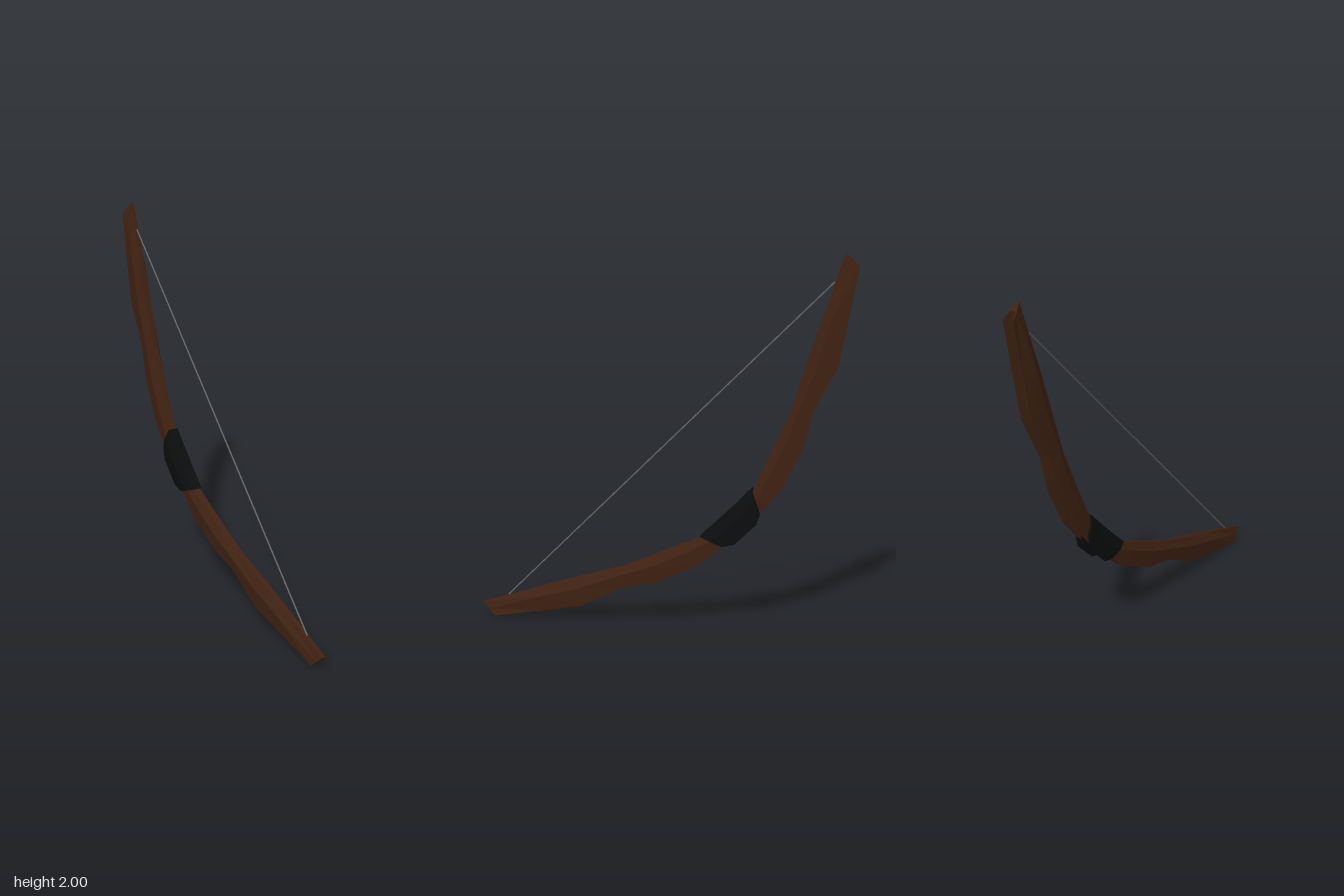
import * as THREE from 'three';

// A station is one cross-section: [innerZ, innerY, outerZ, outerY, innerHalfWidth,
// shoulderHalfWidth, shoulderDepth, outerHalfWidth, grooveDepth]; depths run 0 (inner) to 1 (outer).
const mirrorStation = ([iz, iy, oz, oy, ...rest]) => [iy - 1, iz + 1, oy - 1, oz + 1, ...rest];
const mirrored = (half) => [...half.map(mirrorStation).reverse(), ...half];

function outline([, , , , wi, ws, ds, wo, dg]) {
  const right = [[wi, 0], [ws, ds], [wo, 1], [wo * 0.45, dg]];
  const left = right.map(([x, d]) => [-x, d]).reverse();
  return [...right, ...left].map(([x, d]) => new THREE.Vector2(x, d));
}

// Loft through the stations, with closed ends and flat facets
function loft(stations) {
  const pos = [], idx = [], n = 8;
  for (const s of stations) {
    const [iz, iy, oz, oy] = s;
    for (const p of outline(s)) pos.push(p.x, iy + (oy - iy) * p.y, iz + (oz - iz) * p.y);
  }
  const last = (stations.length - 1) * n;
  for (let s = 0; s < last; s += n) {
    for (let i = 0; i < n; i++) {
      const j = (i + 1) % n;
      idx.push(s + i, s + j, s + n + j, s + i, s + n + j, s + n + i);
    }
  }
  for (const [a, b, c] of THREE.ShapeUtils.triangulateShape(outline(stations[0]), [])) {
    idx.push(c, b, a);
    idx.push(last + a, last + b, last + c);
  }
  const g = new THREE.BufferGeometry();
  g.setAttribute('position', new THREE.Float32BufferAttribute(pos, 3));
  g.setIndex(idx);
  const flat = g.toNonIndexed();
  flat.computeVertexNormals();
  return flat;
}

export function createModel() {
  const group = new THREE.Group();
  const add = (name, geometry, color) => {
    const mesh = new THREE.Mesh(geometry, new THREE.MeshStandardMaterial({ color, flatShading: true }));
    mesh.name = name;
    group.add(mesh);
    return mesh;
  };

  // Wooden stave: upper half from grip to tip, mirrored for the lower half
  add('stave', loft(mirrored([
    [-0.49, 0.775, -0.53, 0.66, 0.022, 0.034, 0.4, 0.026, 0.65],
    [-0.55, 0.91, -0.64, 0.79, 0.018, 0.038, 0.35, 0.03, 0.65],
    [-0.62, 1.07, -0.75, 1.02, 0.016, 0.04, 0.35, 0.031, 0.7],
    [-0.68, 1.21, -0.79, 1.2, 0.016, 0.04, 0.35, 0.031, 0.7],
    [-0.755, 1.455, -0.91, 1.435, 0.016, 0.04, 0.35, 0.031, 0.75],
    [-0.82, 1.66, -0.95, 1.65, 0.015, 0.04, 0.35, 0.031, 0.7],
    [-0.93, 2.0, -1.0, 1.93, 0.008, 0.021, 0.5, 0.03, 0.5],
  ])), 0x402212);

  // Dark wrapped grip around the middle
  add('grip', loft(mirrored([
    [-0.395, 0.69, -0.515, 0.6, 0.028, 0.047, 0.4, 0.042, 0.8],
    [-0.485, 0.785, -0.53, 0.665, 0.028, 0.046, 0.45, 0.042, 0.75],
  ])), 0x0c0d0e);

  // Bowstring between the two tips
  const top = new THREE.Vector3(0, 1.855, -0.88), bottom = new THREE.Vector3(0, 0.12, 0.855);
  const along = top.clone().sub(bottom);
  const string = add('bowstring', new THREE.CylinderGeometry(0.004, 0.004, along.length(), 6), 0x666666);
  string.position.copy(top).add(bottom).multiplyScalar(0.5);
  string.quaternion.setFromUnitVectors(new THREE.Vector3(0, 1, 0), along.normalize());

  return group;
}
